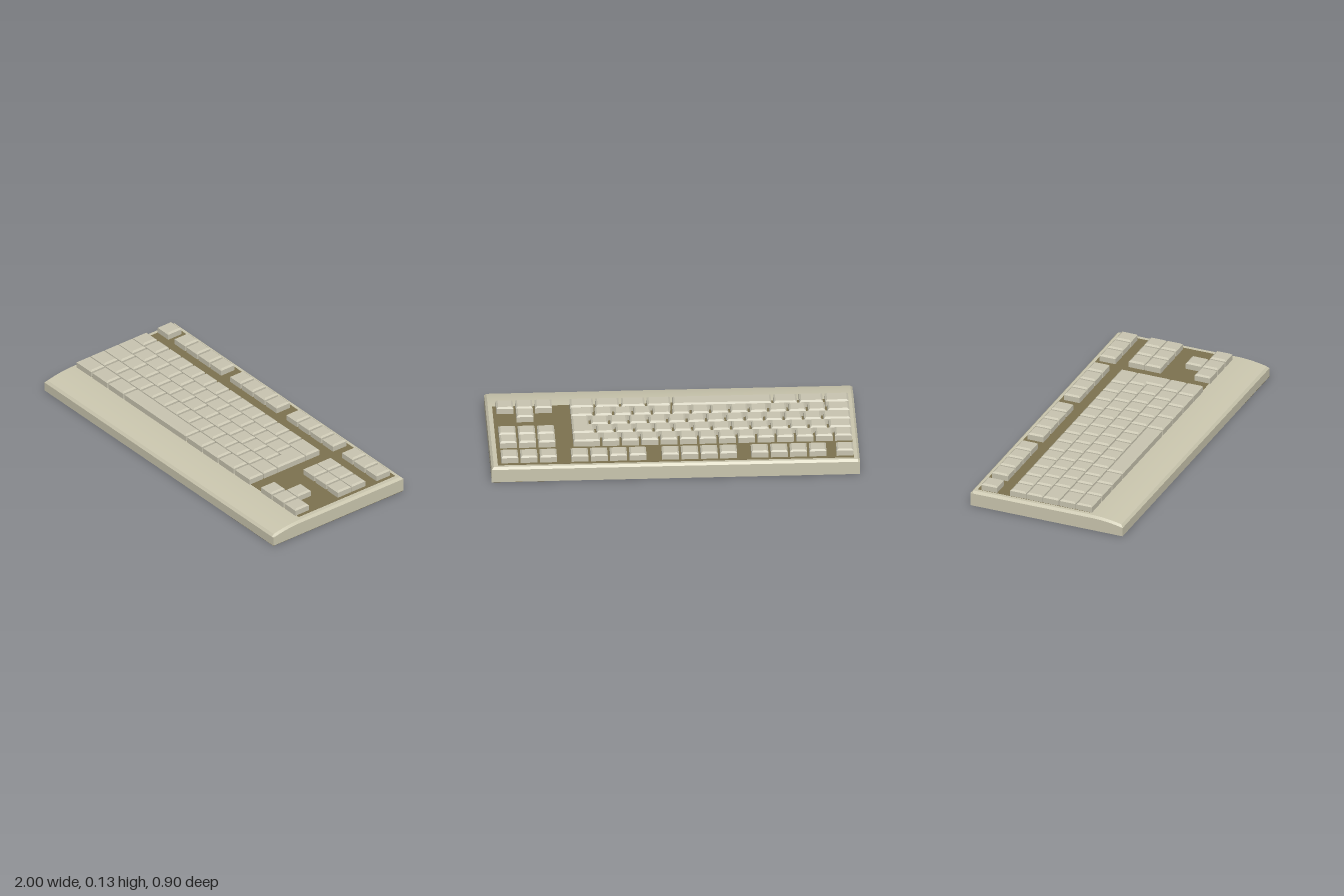
import * as THREE from 'three';
import { toCreasedNormals } from 'three/addons/utils/BufferGeometryUtils.js';

const caseMat = new THREE.MeshStandardMaterial({ color: 0xcac6ae });
caseMat.name = 'case beige';
const keyMat = new THREE.MeshStandardMaterial({ color: 0xc8c4b0 });
keyMat.name = 'key beige';
const plateMat = new THREE.MeshStandardMaterial({ color: 0x7d7250 });
plateMat.name = 'plate olive';

const UNIT = 0.1052;   // key pitch across
const GAP = 0.013;     // space between neighbouring keys
const LEFT = -0.967;   // left edge of the main block
const DEPTH = 0.093;   // key size front to back
const ROWS = [-0.4, -0.229, -0.132, -0.035, 0.063, 0.161]; // back edge of each row

// Case lofted through cross-sections from front to back
function caseGeometry() {
  const sections = [[0.45, 0.052, 0.052]];
  for (let i = 10; i >= 0; i--) {
    const t = i / 10;
    sections.push([0.26 + 0.178 * t, 0.075 - 0.02 * t * t, 0.088 - 0.022 * t * t]);
  }
  sections.push([-0.438, 0.075, 0.088], [-0.45, 0.075, 0.076]);

  const rings = sections.map(([z, side, top]) => [
    [-1, 0.001, z], [-1, side, z], [-0.988, top, z],
    [0.988, top, z], [1, side, z], [1, 0.001, z],
  ]);
  const pos = [];
  const tri = (a, b, c) => pos.push(...a, ...b, ...c);
  for (let i = 0; i < rings.length - 1; i++) {
    for (let j = 0; j < 6; j++) {
      const k = (j + 1) % 6;
      const [f, r] = [rings[i], rings[i + 1]];
      tri(f[j], f[k], r[k]);
      tri(f[j], r[k], r[j]);
    }
  }
  const front = rings[0], back = rings[rings.length - 1];
  for (let j = 1; j < 5; j++) {
    tri(front[0], front[j + 1], front[j]);
    tri(back[0], back[j], back[j + 1]);
  }
  const g = new THREE.BufferGeometry();
  g.setAttribute('position', new THREE.Float32BufferAttribute(pos, 3));
  return toCreasedNormals(g, 0.3);
}

// Keycap from an outline of [x, z] points, with a bevelled top edge
function keycap(name, outline) {
  const shape = new THREE.Shape(outline.map(([x, z]) => new THREE.Vector2(x, -z)));
  const g = new THREE.ExtrudeGeometry(shape, {
    depth: 0.04, bevelEnabled: true, bevelSegments: 1,
    bevelThickness: 0.008, bevelSize: 0.01, bevelOffset: -0.01,
  });
  g.rotateX(-Math.PI / 2);
  g.translate(0, 0.08, 0);
  const mesh = new THREE.Mesh(g, keyMat);
  mesh.name = name;
  return mesh;
}

function rectKey(name, x, z, units) {
  const x1 = x + units * UNIT - GAP, z1 = z + DEPTH;
  return keycap(name, [[x, z1], [x1, z1], [x1, z], [x, z]]);
}

function box(name, mat, x0, x1, y0, y1, z0, z1) {
  const mesh = new THREE.Mesh(new THREE.BoxGeometry(x1 - x0, y1 - y0, z1 - z0), mat);
  mesh.position.set((x0 + x1) / 2, (y0 + y1) / 2, (z0 + z1) / 2);
  mesh.name = name;
  return mesh;
}

export function createModel() {
  const model = new THREE.Group();
  model.name = 'keyboard';

  const body = new THREE.Mesh(caseGeometry(), caseMat);
  body.name = 'case';
  model.add(body);
  model.add(box('keyPlate', plateMat, -0.968, 0.965, 0.084, 0.089, -0.42, 0.247));
  model.add(box('undersidePanel', plateMat, 0.63, 1, 0, 0.002, -0.45, 0.45));

  // Top row: one single key, then three groups of four
  const topRowKeys = new THREE.Group();
  topRowKeys.name = 'topRowKeys';
  topRowKeys.add(rectKey('escapeKey', LEFT, ROWS[0], 1));
  for (const start of [-0.82, -0.335, 0.157]) {
    for (let i = 0; i < 4; i++) topRowKeys.add(rectKey('topRowKey', start + i * UNIT, ROWS[0], 1));
  }
  model.add(topRowKeys);

  // Main block: key widths per row, in units
  const ones = (n) => Array(n).fill(1);
  const layout = [
    [...ones(13), 1.5],
    [1.25, ...ones(12)],
    [1.5, ...ones(12)],
    [1.25, ...ones(12), 1.25],
    [1.33, 1.33, 1.33, 5.2, 1.3275, 1.3275, 1.3275, 1.3275],
  ];
  const mainKeys = new THREE.Group();
  mainKeys.name = 'mainKeys';
  layout.forEach((widths, r) => {
    let x = LEFT;
    for (const w of widths) {
      mainKeys.add(rectKey(w > 5 ? 'spaceBar' : 'key', x, ROWS[r + 1], w));
      x += w * UNIT;
    }
  });

  // Tall stepped enter key spanning two rows
  const xa = LEFT + 13.25 * UNIT, xb = LEFT + 13.5 * UNIT, xr = LEFT + 14.5 * UNIT - GAP;
  const zt = ROWS[2], zm = ROWS[2] + DEPTH, zb = ROWS[3] + DEPTH;
  mainKeys.add(keycap('enterKey', [[xb, zb], [xr, zb], [xr, zt], [xa, zt], [xa, zm], [xb, zm]]));
  model.add(mainKeys);

  // Navigation and arrow keys: columns used in each row
  const navigationKeys = new THREE.Group();
  navigationKeys.name = 'navigationKeys';
  [[0, 1, 2], [0, 1, 2], [0, 1, 2], [], [1], [0, 1, 2]].forEach((cols, r) => {
    for (const c of cols) {
      navigationKeys.add(rectKey(r > 3 ? 'arrowKey' : 'navigationKey', 0.643 + c * UNIT, ROWS[r], 1));
    }
  });
  model.add(navigationKeys);

  return model;
}
